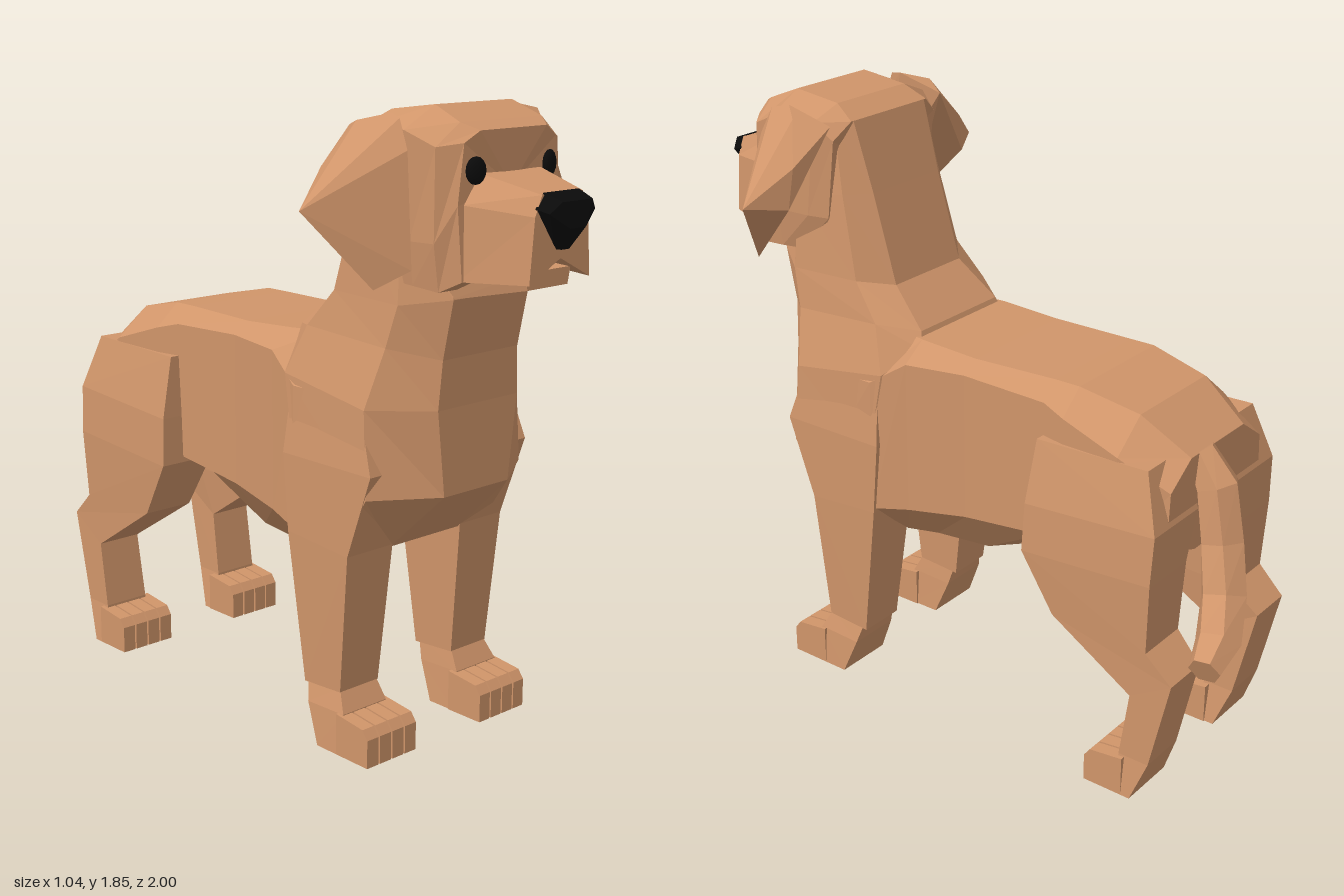
import * as THREE from 'three';
import { ConvexGeometry } from 'three/addons/geometries/ConvexGeometry.js';

const coat = new THREE.MeshStandardMaterial({ color: 0xd0956a });
coat.name = 'tan coat';
const black = new THREE.MeshStandardMaterial({ color: 0x0b0b0b });
black.name = 'black';

// Skin a list of equal-length rings, cap both ends, facets kept flat
function loft(rings) {
  const tris = [];
  const n = rings[0].length;
  for (let i = 0; i < rings.length - 1; i++) {
    for (let j = 0; j < n; j++) {
      const k = (j + 1) % n;
      const [a, b, c, d] = [rings[i][j], rings[i][k], rings[i + 1][k], rings[i + 1][j]];
      tris.push([a, b, c], [a, c, d]);
    }
  }
  const cap = (ring, flip) => {
    const mid = [0, 1, 2].map((q) => ring.reduce((s, p) => s + p[q], 0) / n);
    ring.forEach((p, j) => {
      const next = ring[(j + 1) % n];
      tris.push(flip ? [mid, next, p] : [mid, p, next]);
    });
  };
  cap(rings[0], true);
  cap(rings[rings.length - 1], false);
  // Turn the faces outward if the enclosed volume is negative
  const v = (p) => new THREE.Vector3(...p);
  const volume = tris.reduce((s, [a, b, c]) => s + v(a).dot(v(b).cross(v(c))), 0);
  if (volume < 0) tris.forEach((t) => t.reverse());
  const geo = new THREE.BufferGeometry();
  geo.setAttribute('position', new THREE.Float32BufferAttribute(tris.flat(2), 3));
  geo.computeVertexNormals();
  return geo;
}

// Complete a half ring by mirroring it over x = 0
const mirror = (half) => [
  ...half,
  ...half.filter((p) => p[0] !== 0).reverse().map(([x, y, z]) => [-x, y, z]),
];

// Four-cornered leg ring: front and back [z, y], inner and outer x
const legRing = (s, [fz, fy], [bz, by], x0, x1) => [
  [s * x0, fy, fz], [s * x1, fy, fz], [s * x1, by, bz], [s * x0, by, bz],
];

const hull = (pts) => new ConvexGeometry(pts.map((p) => new THREE.Vector3(...p)));

export function createModel() {
  const model = new THREE.Group();
  model.name = 'dog';
  const add = (name, geo, mat = coat, parent = model) => {
    const mesh = new THREE.Mesh(geo, mat);
    mesh.name = name;
    parent.add(mesh);
    return mesh;
  };

  // Torso: stations along z, half outlines [x, y] from back to belly
  const torso = [
    [-0.78, [0.14, 1.04], [0.24, 0.97], [0.25, 0.80], [0.10, 0.74]],
    [-0.63, [0.17, 1.14], [0.28, 1.05], [0.28, 0.78], [0.10, 0.70]],
    [-0.44, [0.19, 1.18], [0.27, 1.11], [0.27, 0.74], [0.12, 0.67]],
    [-0.36, [0.19, 1.18], [0.25, 1.13], [0.25, 0.71], [0.13, 0.64]],
    [-0.08, [0.20, 1.175], [0.255, 1.14], [0.255, 0.68], [0.14, 0.53]],
    [0.12, [0.20, 1.185], [0.28, 1.13], [0.28, 0.65], [0.14, 0.51]],
    [0.24, [0.18, 1.19], [0.305, 1.05], [0.31, 0.63], [0.145, 0.49]],
    [0.46, [0.16, 1.15], [0.29, 1.04], [0.305, 0.70], [0.145, 0.59]],
  ];
  add('torso', loft(torso.map(([z, ...half]) => mirror(half.map(([x, y]) => [x, y, z])))));

  // Chest and neck: rings rising from brisket to skull
  add('chestAndNeck', loft([
    [[0.145, 0.60, 0.24], [0.31, 0.62, 0.26], [0.31, 0.60, 0.44], [0.14, 0.59, 0.47]],
    [[0.20, 0.80, 0.15], [0.31, 0.80, 0.25], [0.315, 0.78, 0.55], [0.13, 0.78, 0.67]],
    [[0.20, 1.15, 0.12], [0.30, 1.08, 0.20], [0.305, 1.03, 0.53], [0.16, 1.03, 0.67]],
    [[0.18, 1.20, 0.14], [0.26, 1.22, 0.25], [0.255, 1.20, 0.56], [0.15, 1.17, 0.675]],
    [[0.15, 1.31, 0.26], [0.24, 1.33, 0.34], [0.24, 1.32, 0.59], [0.15, 1.34, 0.71]],
    [[0.15, 1.58, 0.34], [0.22, 1.58, 0.40], [0.22, 1.55, 0.58], [0.12, 1.50, 0.68]],
    [[0.16, 1.79, 0.40], [0.20, 1.78, 0.44], [0.20, 1.75, 0.58], [0.10, 1.72, 0.65]],
  ].map(mirror)));

  // Head
  const head = new THREE.Group();
  head.name = 'head';
  model.add(head);
  add('skull', loft([
    [[0.17, 1.79, 0.40], [0.23, 1.74, 0.42], [0.23, 1.50, 0.45], [0.20, 1.39, 0.52]],
    [[0.15, 1.83, 0.47], [0.25, 1.79, 0.48], [0.245, 1.50, 0.52], [0.22, 1.38, 0.57]],
    [[0.15, 1.85, 0.63], [0.265, 1.79, 0.63], [0.25, 1.50, 0.64], [0.235, 1.38, 0.64]],
    [[0.16, 1.81, 0.73], [0.24, 1.75, 0.72], [0.24, 1.50, 0.72], [0.22, 1.37, 0.72]],
    [[0.13, 1.79, 0.775], [0.18, 1.76, 0.765], [0.20, 1.60, 0.765], [0.19, 1.40, 0.775]],
  ].map(mirror)), coat, head);
  add('muzzle', loft([
    [[0.12, 1.68, 0.76], [0.18, 1.60, 0.76], [0.19, 1.40, 0.76], [0, 1.43, 0.76]],
    [[0.08, 1.635, 0.945], [0.105, 1.58, 0.945], [0.12, 1.405, 0.945], [0, 1.465, 0.945]],
  ].map(mirror)), coat, head);
  add('lowerJaw', loft([
    [[0.18, 1.42, 0.66], [0.15, 1.34, 0.70]],
    [[0.09, 1.43, 0.905], [0.08, 1.383, 0.905]],
  ].map(mirror)), coat, head);
  add('nose', hull([-1, 1].flatMap((s) => [
    [s * 0.07, 1.64, 0.94], [s * 0.10, 1.60, 0.94], [s * 0.02, 1.49, 0.94],
    [s * 0.06, 1.62, 0.995], [s * 0.09, 1.59, 0.98], [s * 0.03, 1.55, 1.0],
    [s * 0.015, 1.49, 0.96],
  ])), black, head);

  for (const s of [1, -1]) {
    const side = s > 0 ? 'left' : 'right';

    // Eye: a flattened bead turned a little outward
    const eye = add(side + 'Eye', new THREE.SphereGeometry(1, 12, 8), black, head);
    eye.scale.set(0.031, 0.037, 0.016);
    eye.position.set(s * 0.145, 1.688, 0.775);
    eye.rotation.y = s * 0.3;

    // Ear: a flared flap hanging from the top of the skull
    add(side + 'Ear', hull([
      [0.25, 1.79, 0.41], [0.25, 1.83, 0.57], [0.27, 1.82, 0.62], [0.31, 1.81, 0.50],
      [0.28, 1.74, 0.66], [0.28, 1.43, 0.68], [0.36, 1.38, 0.62], [0.40, 1.57, 0.445],
      [0.38, 1.69, 0.44], [0.52, 1.59, 0.51],
    ].map(([x, y, z]) => [s * x, y, z])), coat, head);

    // Legs: rings from shoulder or hip to the ground
    add(side + 'FrontLeg', loft([
      legRing(s, [0.50, 1.05], [0.22, 1.03], 0.15, 0.295),
      legRing(s, [0.57, 0.85], [0.21, 0.85], 0.14, 0.317),
      legRing(s, [0.48, 0.60], [0.23, 0.62], 0.14, 0.317),
      legRing(s, [0.44, 0.18], [0.29, 0.17], 0.155, 0.305),
    ]));
    add(side + 'FrontFoot', loft([
      legRing(s, [0.435, 0.19], [0.30, 0.19], 0.16, 0.30),
      legRing(s, [0.47, 0.125], [0.32, 0.12], 0.15, 0.32),
      legRing(s, [0.47, 0], [0.37, 0], 0.14, 0.33),
    ]));
    add(side + 'HindLeg', loft([
      legRing(s, [-0.36, 1.03], [-0.73, 1.04], 0.05, 0.28),
      legRing(s, [-0.35, 0.84], [-0.785, 0.87], 0.10, 0.322),
      legRing(s, [-0.345, 0.69], [-0.78, 0.72], 0.14, 0.33),
      legRing(s, [-0.45, 0.51], [-0.77, 0.50], 0.15, 0.32),
      legRing(s, [-0.72, 0.34], [-0.855, 0.42], 0.165, 0.315),
      legRing(s, [-0.69, 0.13], [-0.79, 0.13], 0.16, 0.315),
      legRing(s, [-0.69, 0], [-0.74, 0], 0.14, 0.33),
    ]));

    // Toes: four narrow blocks on every paw
    for (const [name, dz] of [['Front', 0], ['Hind', -1.16]]) {
      for (let i = 0; i < 4; i++) {
        const x = 0.136 + i * 0.05;
        const profile = [[0.45, 0], [0.58, 0], [0.58, 0.085], [0.56, 0.112], [0.45, 0.125]];
        add(side + name + 'Toe' + (i + 1), loft([x, x + 0.044].map(
          (px) => profile.map(([z, y]) => [s * px, y, z + dz]))));
      }
    }
  }

  // Tail: six-sided, hanging and curling to the left; entries are x, y, z, radius
  const path = [
    [0.06, 1.03, -0.76, 0.045], [0.06, 0.94, -0.82, 0.065], [0.075, 0.78, -0.855, 0.068],
    [0.12, 0.64, -0.895, 0.07], [0.20, 0.54, -0.93, 0.068], [0.295, 0.50, -0.945, 0.048],
  ];
  const at = (i) => new THREE.Vector3(...path[Math.min(Math.max(i, 0), path.length - 1)]);
  add('tail', loft(path.map((p, i) => {
    const along = at(i + 1).sub(at(i - 1)).normalize();
    const u = new THREE.Vector3(0, 0, 1).addScaledVector(along, -along.z).normalize();
    const w = along.clone().cross(u);
    return Array.from({ length: 6 }, (_, j) => {
      const a = (j * Math.PI) / 3;
      return at(i).addScaledVector(u, Math.cos(a) * p[3]).addScaledVector(w, Math.sin(a) * p[3]).toArray();
    });
  })));

  return model;
}
